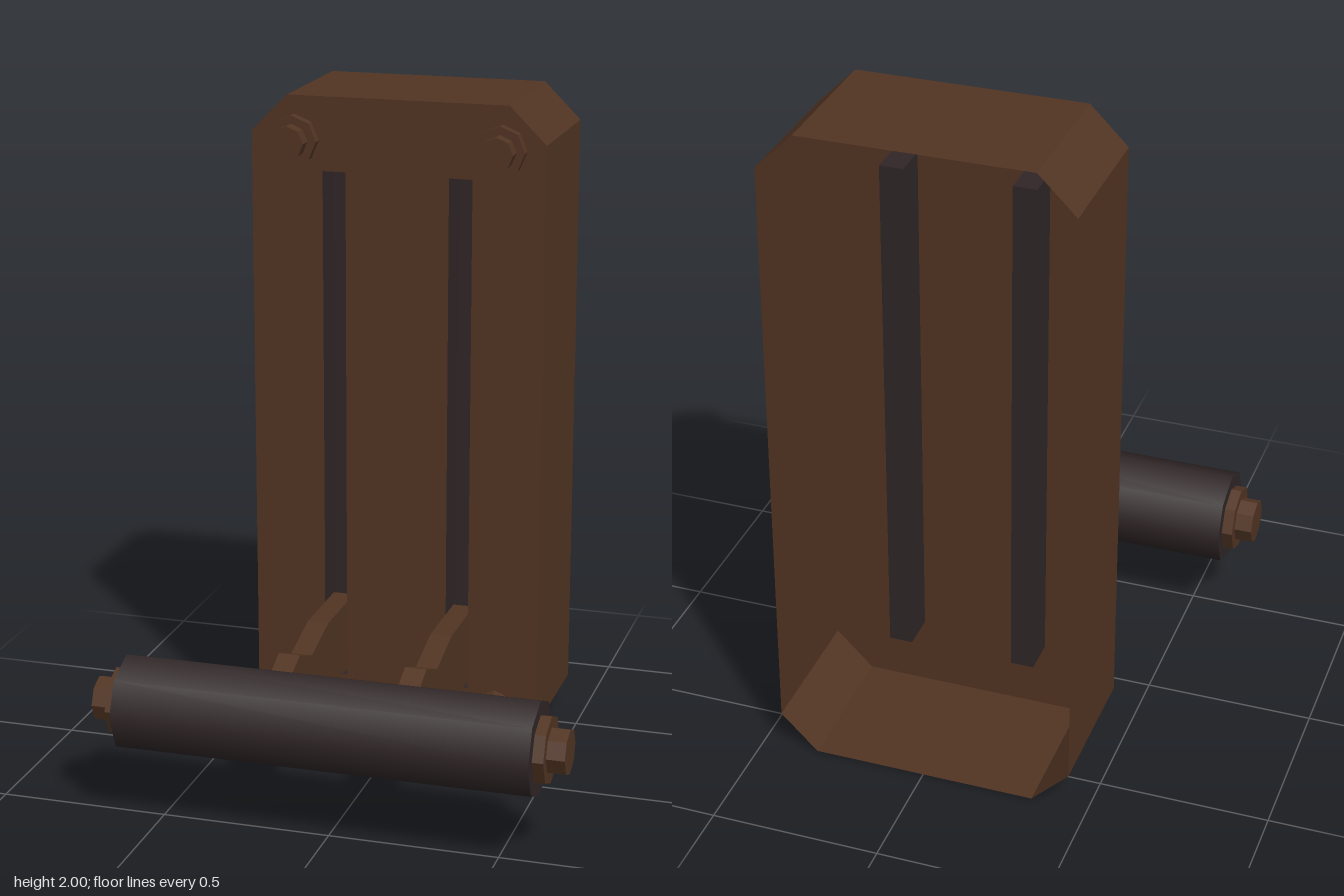
import * as THREE from 'three';

const FRONT = -0.19, BACK = -0.63;          // housing depth range
const SLOT = { x: 0.191, w: 0.07, y0: 0.21, y1: 1.78, depth: 0.11 };

export function createModel() {
  const model = new THREE.Group();
  model.name = 'wallMountedLever';

  const brown = new THREE.MeshStandardMaterial({ color: 0x523523, side: THREE.DoubleSide });
  brown.name = 'rusty brown';
  const dark = new THREE.MeshStandardMaterial({ color: 0x302627, side: THREE.DoubleSide });
  dark.name = 'dark iron';

  const add = (name, geometry, material, parent = model) => {
    const mesh = new THREE.Mesh(geometry, material);
    mesh.name = name;
    parent.add(mesh);
    return mesh;
  };

  // Housing outline: rectangle with chamfered corners, counter-clockwise
  const W = 0.443, C = 0.11, H = 2;
  const outline = [
    [-W + C, 0], [W - C, 0], [W, C], [W, H - C],
    [W - C, H], [-W + C, H], [-W, H - C], [-W, C],
  ].map(([x, y]) => new THREE.Vector2(x, y));

  // Front plate with two open slots
  const plate = new THREE.Shape(outline);
  for (const s of [-1, 1]) {
    const a = s * SLOT.x - SLOT.w / 2, b = s * SLOT.x + SLOT.w / 2;
    plate.holes.push(new THREE.Path([
      new THREE.Vector2(a, SLOT.y0), new THREE.Vector2(a, SLOT.y1),
      new THREE.Vector2(b, SLOT.y1), new THREE.Vector2(b, SLOT.y0),
    ]));
  }
  add('housingFront', new THREE.ShapeGeometry(plate).translate(0, 0, FRONT), brown);

  // Thin side walls around the outline; the back stays open
  const walls = [];
  outline.forEach((a, i) => {
    const b = outline[(i + 1) % outline.length];
    const af = [a.x, a.y, FRONT], ab = [a.x, a.y, BACK];
    const bf = [b.x, b.y, FRONT], bb = [b.x, b.y, BACK];
    walls.push(...af, ...ab, ...bb, ...af, ...bb, ...bf);
  });
  const wallGeometry = new THREE.BufferGeometry();
  wallGeometry.setAttribute('position', new THREE.Float32BufferAttribute(walls, 3));
  wallGeometry.computeVertexNormals();
  add('housingWalls', wallGeometry, brown);

  // Arm side profile: (z, y)
  const armShape = new THREE.Shape([
    [-0.27, 0.227], [-0.01, 0.227], [0.15, 0.27], [0.265, 0.227], [0.38, 0.275],
    [0.40, 0.34], [0.38, 0.397], [0.265, 0.445], [0.15, 0.402], [-0.01, 0.445], [-0.27, 0.445],
  ].map(([z, y]) => new THREE.Vector2(z, y)));
  const armWidth = 0.064;
  const armGeometry = new THREE.ExtrudeGeometry(armShape, { depth: armWidth, bevelEnabled: false });
  armGeometry.translate(0, 0, -armWidth / 2).rotateY(-Math.PI / 2);

  // Slot channel: a box without its front face
  const channelGeometry = new THREE.BoxGeometry(SLOT.w, SLOT.y1 - SLOT.y0, SLOT.depth);
  channelGeometry.setIndex(Array.from(channelGeometry.index.array).filter((_, i) => i < 24 || i >= 30));
  channelGeometry.clearGroups();

  for (const s of [-1, 1]) {
    const side = s > 0 ? 'left' : 'right';
    add(side + 'Channel', channelGeometry, dark)
      .position.set(s * SLOT.x, (SLOT.y0 + SLOT.y1) / 2, FRONT - SLOT.depth / 2);
    add(side + 'Arm', armGeometry, brown).position.x = s * SLOT.x;
  }

  // Eight-sided washer and bolt head, built along +z from z = 0
  const octagon = (r, z0, z1) =>
    new THREE.CylinderGeometry(r, r, z1 - z0, 8).toNonIndexed()
      .rotateX(Math.PI / 2).translate(0, 0, (z0 + z1) / 2);
  const bolt = (name, washerRadius, headRadius, washerDepth, depth) => {
    const group = new THREE.Group();
    group.name = name;
    const parts = [['washer', octagon(washerRadius, 0, washerDepth)],
      ['boltHead', octagon(headRadius, washerDepth, depth)]];
    for (const [partName, geometry] of parts) {
      geometry.computeVertexNormals();
      add(partName, geometry, brown, group);
    }
    model.add(group);
    return group;
  };

  // Four corner bolts on the front plate
  for (const x of [-0.312, 0.312]) {
    for (const y of [0.137, 1.87]) {
      bolt('cornerBolt', 0.075, 0.05, 0.03, 0.073).position.set(x, y, FRONT);
    }
  }

  // Roller handle with a bolt at each end
  const rollerY = 0.338, rollerZ = 0.485, rollerHalf = 0.61;
  add('rollerHandle',
    new THREE.CylinderGeometry(0.143, 0.143, rollerHalf * 2, 8).rotateZ(Math.PI / 2), dark)
    .position.set(0, rollerY, rollerZ);
  for (const s of [-1, 1]) {
    const end = bolt('handleBolt', 0.1, 0.067, 0.032, 0.085);
    end.position.set(s * rollerHalf, rollerY, rollerZ);
    end.rotation.y = s * Math.PI / 2;
  }

  return model;
}
